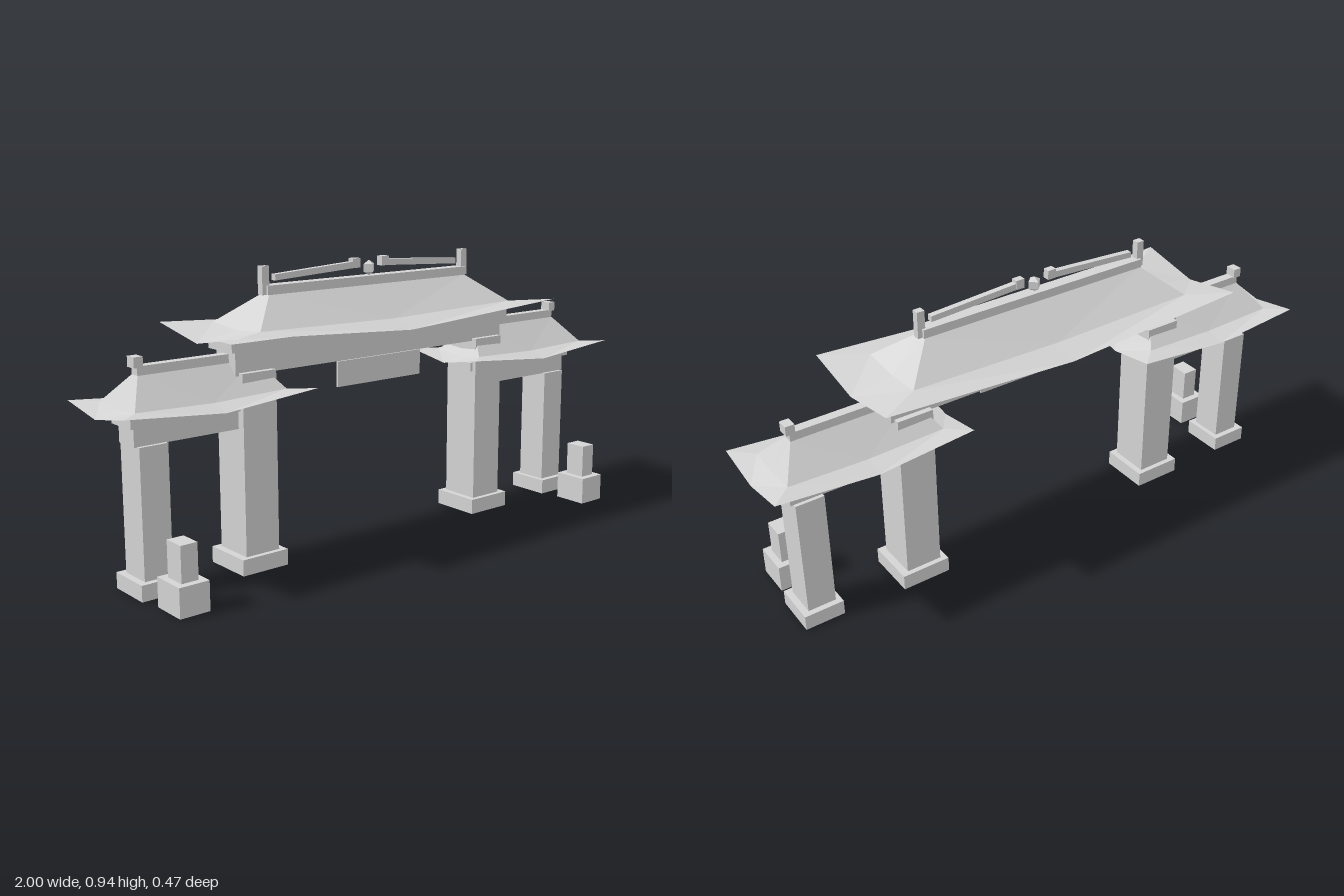
import * as THREE from 'three';

const Z0 = -0.021; // centre plane of the gateway

export function createModel() {
  const stone = new THREE.MeshStandardMaterial({
    color: 0xd4d4d4, flatShading: true, side: THREE.DoubleSide,
  });
  stone.name = 'pale stone';
  const model = new THREE.Group();
  model.name = 'gateway';

  const add = (name, geometry, x, y, z) => {
    const mesh = new THREE.Mesh(geometry, stone);
    mesh.name = name;
    mesh.position.set(x, y, z);
    model.add(mesh);
    return mesh;
  };

  // Box given by its x range, y range, half depth and centre z
  const block = (name, x0, x1, y0, y1, halfDepth, z = Z0) =>
    add(name, new THREE.BoxGeometry(Math.abs(x1 - x0), y1 - y0, halfDepth * 2),
      (x0 + x1) / 2, (y0 + y1) / 2, z);

  // Box without its bottom face (the fourth of six, six indices each)
  const footing = (...args) => {
    const { geometry } = block(...args);
    const index = Array.from(geometry.index.array);
    index.splice(18, 6);
    geometry.clearGroups();
    geometry.setIndex(index);
  };

  // Hollow hipped roof: three rectangular rings [halfX, halfZ, cornerY, middleY]
  const roof = (name, x, rings) => {
    const around = [[1, 1], [1, 0], [1, -1], [0, -1], [-1, -1], [-1, 0], [-1, 1], [0, 1]];
    const [eave, bend, ridge] = rings.map(([hx, hz, corner, middle]) =>
      around.map(([u, v]) => [u * hx, u && v ? corner : middle, v * hz]));
    const positions = [];
    const tri = (...points) => points.forEach((p) => positions.push(...p));
    for (let i = 0; i < 8; i++) {
      const j = (i + 1) % 8;
      for (const [low, high] of [[eave, bend], [bend, ridge]]) {
        // split each panel from the eave middle towards the hip
        if (i % 2) {
          tri(low[i], low[j], high[j]);
          tri(low[i], high[j], high[i]);
        } else {
          tri(low[i], low[j], high[i]);
          tri(low[j], high[j], high[i]);
        }
      }
    }
    const geometry = new THREE.BufferGeometry();
    geometry.setAttribute('position', new THREE.Float32BufferAttribute(positions, 3));
    geometry.computeVertexNormals();
    add(name, geometry, x, 0, Z0);
  };

  // Central span
  block('mainBeam', -0.56, 0.56, 0.618, 0.692, 0.051);
  block('mainCornice', -0.58, 0.58, 0.692, 0.719, 0.064);
  block('plaque', -0.175, 0.175, 0.535, 0.618, 0.004, 0.032);
  roof('mainRoof', 0, [
    [0.66, 0.214, 0.762, 0.722],
    [0.52, 0.128, 0.759, 0.748],
    [0.41, 0.019, 0.849, 0.849],
  ]);
  block('mainRidge', -0.415, 0.415, 0.847, 0.876, 0.021);
  add('ridgePearl', new THREE.SphereGeometry(0.025, 4, 3), 0, 0.9, Z0);

  for (const s of [-1, 1]) {
    // Pillars and bases
    block('innerPillar', s * 0.425, s * 0.548, 0.052, 0.627, 0.07);
    footing('innerPillarBase', s * 0.404, s * 0.572, 0, 0.052, 0.087);
    block('outerPillar', s * 0.8, s * 0.895, 0.051, 0.455, 0.055);
    footing('outerPillarBase', s * 0.783, s * 0.917, 0, 0.051, 0.075);

    // Side span
    block('sideBeam', s * 0.43, s * 0.905, 0.454, 0.511, 0.043);
    block('sideCornice', s * 0.415, s * 0.92, 0.511, 0.541, 0.055);
    roof('sideRoof', s * 0.67, [
      [0.33, 0.166, 0.572, 0.543],
      [0.26, 0.102, 0.57, 0.562],
      [0.2, 0.017, 0.655, 0.655],
    ]);
    block('sideRidge', s * 0.47, s * 0.87, 0.653, 0.682, 0.016);
    block('sideRidgeFinial', s * 0.852, s * 0.882, 0.678, 0.71, 0.019);

    // Ridge ornaments
    block('ridgeEndPost', s * 0.404, s * 0.43, 0.847, 0.935, 0.012);
    const body = new THREE.Shape([
      [0.38, 0.888], [0.38, 0.907], [0.07, 0.925], [0.07, 0.904],
    ].map(([x, y]) => new THREE.Vector2(s * x, y)));
    add('ridgeCreatureBody',
      new THREE.ExtrudeGeometry(body, { depth: 0.02, bevelEnabled: false }), 0, 0, Z0 - 0.01);
    block('ridgeCreatureHead', s * 0.045, s * 0.075, 0.904, 0.935, 0.012);

    // Free-standing guardian pedestals in front
    footing('pedestal', s * 0.8, s * 0.9, 0, 0.093, 0.06, 0.175);
    block('pedestalStone', s * 0.822, s * 0.878, 0.093, 0.206, 0.037, 0.175);
  }
  return model;
}
